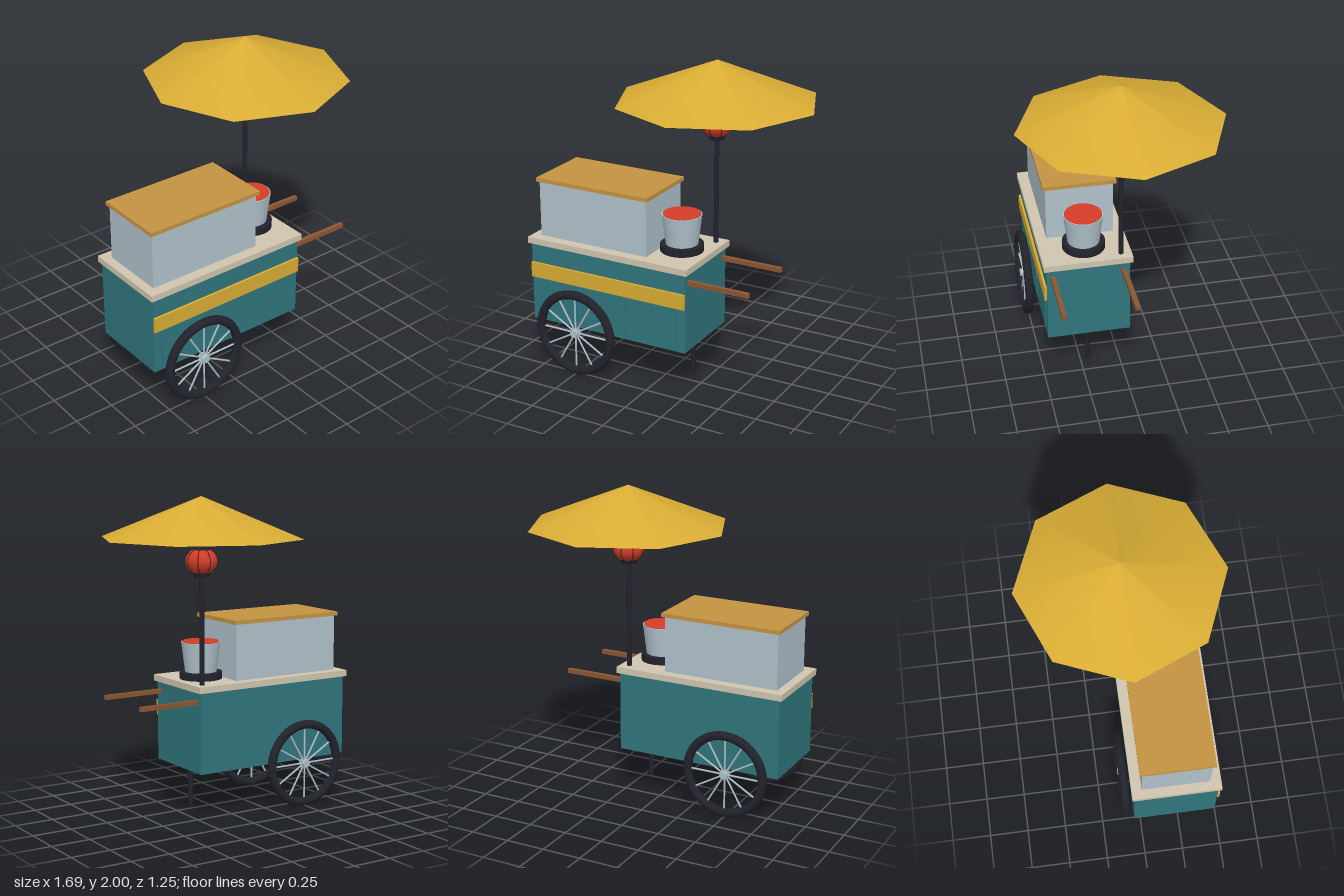
import * as THREE from 'three';

const paint = (name, color, side = THREE.FrontSide) => {
  const m = new THREE.MeshStandardMaterial({ color, side });
  m.name = name;
  return m;
};

export function createModel() {
  const cart = new THREE.Group();
  cart.name = 'foodCart';

  const teal = paint('tealPaint', 0x2f757c);
  const yellow = paint('yellowCloth', 0xd8ac34, THREE.DoubleSide);
  const wood = paint('lightWood', 0xc49342);
  const cream = paint('creamCounter', 0xd0c5ae);
  const metal = paint('paleMetal', 0xb0c1ca);
  const black = paint('blackIron', 0x22222c);
  const red = paint('red', 0xd43c28);
  const brown = paint('brownWood', 0x8a5632);

  const add = (name, geometry, material, x = 0, y = 0, z = 0, parent = cart) => {
    const mesh = new THREE.Mesh(geometry, material);
    mesh.name = name;
    mesh.position.set(x, y, z);
    parent.add(mesh);
    return mesh;
  };
  // Box given by its limits on each axis
  const box = (name, material, [x0, x1], [y0, y1], [z0, z1]) =>
    add(name, new THREE.BoxGeometry(x1 - x0, y1 - y0, z1 - z0), material,
      (x0 + x1) / 2, (y0 + y1) / 2, (z0 + z1) / 2);
  // Upright cylinder given by its end heights
  const post = (name, material, rTop, rBottom, y0, y1, x, z, sides = 32) =>
    add(name, new THREE.CylinderGeometry(rTop, rBottom, y1 - y0, sides), material, x, (y0 + y1) / 2, z);

  // Cabinet, front panels, painted band and counter
  box('cabinet', teal, [-0.83, 0.255], [0.3, 0.81], [-0.05, 0.47]);
  for (const x of [-0.775, -0.422, -0.07])
    box('frontPanel', teal, [x, x + 0.268], [0.345, 0.59], [0.47, 0.477]);
  box('frontBand', yellow, [-0.83, 0.255], [0.588, 0.685], [0.47, 0.485]);
  box('counter', cream, [-0.847, 0.273], [0.81, 0.85], [-0.067, 0.487]);

  // Storage case with lid
  box('displayCase', metal, [-0.79, -0.036], [0.85, 1.205], [-0.003, 0.42]);
  box('caseLid', wood, [-0.805, -0.02], [1.205, 1.23], [-0.02, 0.436]);

  // Burner and pot of soup
  post('burner', black, 0.133, 0.133, 0.85, 0.895, 0.093, 0.21);
  post('pot', metal, 0.123, 0.1, 0.895, 1.083, 0.093, 0.21);
  post('soup', red, 0.116, 0.116, 1.08, 1.087, 0.093, 0.21);

  // Push handles and rest leg
  for (const z of [-0.01, 0.43])
    box('pushHandle', brown, [0.25, 0.656], [0.735, 0.763], [z - 0.014, z + 0.014]);
  post('restLeg', black, 0.015, 0.015, 0.035, 0.3, 0.173, 0.21, 12);

  // Parasol
  post('parasolPole', black, 0.015, 0.015, 0.85, 1.84, 0.215, 0, 12);
  add('parasolCanopy', new THREE.ConeGeometry(0.625, 0.25, 8, 1, true), yellow, 0.215, 1.875, 0);

  // Lantern on the pole, with vertical ribs
  const lantern = new THREE.Group();
  lantern.name = 'lantern';
  lantern.position.set(0.215, 1.61, 0);
  cart.add(lantern);
  const shade = add('lanternShade', new THREE.SphereGeometry(0.098, 24, 16), red, 0, 0, 0, lantern);
  shade.scale.y = 0.85;
  for (let i = 0; i < 4; i++) {
    const rib = add('lanternRib', new THREE.TorusGeometry(0.098, 0.003, 6, 32), black, 0, 0, 0, lantern);
    rib.scale.y = 0.85;
    rib.rotation.y = i * Math.PI / 4;
  }
  add('lanternTopCap', new THREE.CylinderGeometry(0.045, 0.056, 0.032, 20), black, 0, 0.08, 0, lantern);
  add('lanternBottomCap', new THREE.CylinderGeometry(0.056, 0.045, 0.032, 20), black, 0, -0.08, 0, lantern);

  // Spoked wheels on both sides
  for (const z of [0.512, -0.093]) {
    const wheel = new THREE.Group();
    wheel.name = 'wheel';
    wheel.position.set(-0.497, 0.284, z);
    cart.add(wheel);
    add('tyre', new THREE.TorusGeometry(0.252, 0.028, 12, 48), black, 0, 0, 0, wheel);
    const hub = add('hub', new THREE.CylinderGeometry(0.025, 0.025, 0.05, 16), metal, 0, 0, 0, wheel);
    hub.rotation.x = Math.PI / 2;
    for (let i = 0; i < 12; i++) {
      const a = i * Math.PI / 6;
      const spoke = add('spoke', new THREE.CylinderGeometry(0.006, 0.006, 0.225, 6), metal,
        -Math.sin(a) * 0.123, Math.cos(a) * 0.123, 0, wheel);
      spoke.rotation.z = a;
    }
  }
  return cart;
}
